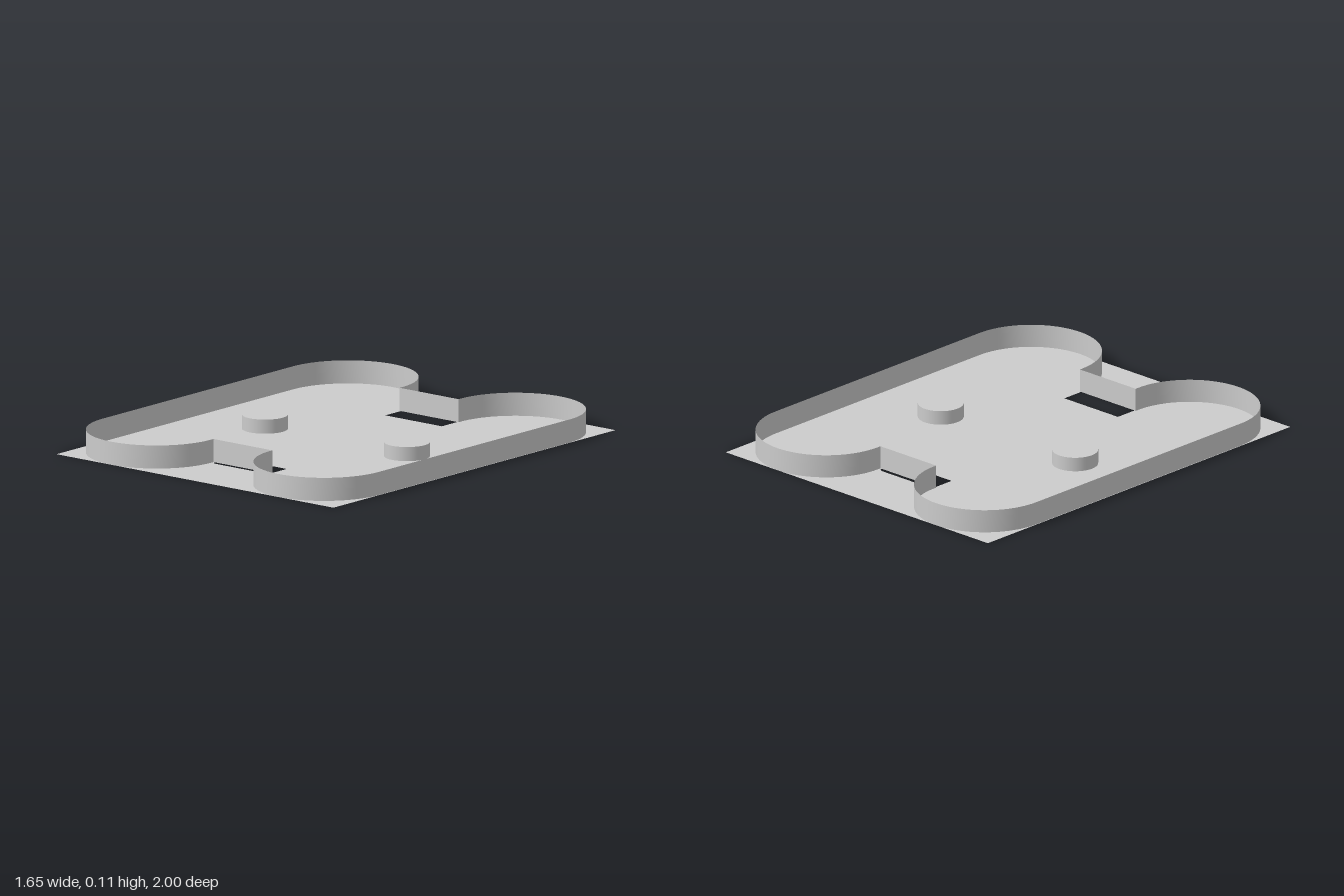
import * as THREE from 'three';

const HALF_W = 0.823, HALF_D = 1;
const WALL_H = 0.108, LOBE_R = 0.3225, LOBE_X = 0.4975, LOBE_Z = 0.6775;
const NOTCH_X = LOBE_X - LOBE_R, NOTCH_Z = 0.66;

const mat = new THREE.MeshStandardMaterial({ color: 0xcccccc, side: THREE.DoubleSide });

function add(parent, name, geometry) {
  const mesh = new THREE.Mesh(geometry, mat);
  mesh.name = name;
  parent.add(mesh);
  return mesh;
}

// Upright thin wall following a list of [x, z] points
function ribbon(points) {
  const n = points.length;
  const geo = new THREE.PlaneGeometry(1, 1, n - 1, 1);
  const pos = geo.attributes.position;
  for (let i = 0; i < pos.count; i++) {
    const [x, z] = points[i % n];
    pos.setXYZ(i, x, i < n ? WALL_H : 0, z);
  }
  geo.computeVertexNormals();
  return geo;
}

// Slot with its two outer corners rounded; s is the end it sits at
function slot(s) {
  const w = 0.168, inner = 0.55 * s, outer = 0.68 * s, r = 0.028;
  const p = new THREE.Path();
  p.moveTo(-w, inner);
  p.lineTo(w, inner);
  p.lineTo(w, outer - r * s);
  p.quadraticCurveTo(w, outer, w - r, outer);
  p.lineTo(-w + r, outer);
  p.quadraticCurveTo(-w, outer, -w, outer - r * s);
  p.closePath();
  return p;
}

export function createModel() {
  const model = new THREE.Group();
  model.name = 'tray';

  // Base sheet with two slots
  const sheet = new THREE.Shape([
    new THREE.Vector2(-HALF_W, -HALF_D), new THREE.Vector2(HALF_W, -HALF_D),
    new THREE.Vector2(HALF_W, HALF_D), new THREE.Vector2(-HALF_W, HALF_D),
  ]);
  sheet.holes.push(slot(1), slot(-1));
  add(model, 'basePlate', new THREE.ShapeGeometry(sheet).rotateX(-Math.PI / 2));

  // One side of the rim: front lobe, straight run, back lobe
  const steps = 40, side = [[NOTCH_X, NOTCH_Z]];
  for (let end = 1; end >= -1; end -= 2) {
    for (let i = 0; i <= steps; i++) {
      const t = Math.PI * i / steps;
      const a = end > 0 ? Math.PI - t : -t;
      side.push([LOBE_X + LOBE_R * Math.cos(a), end * LOBE_Z + LOBE_R * Math.sin(a)]);
    }
  }
  side.push([NOTCH_X, -NOTCH_Z]);

  // The two halves repeat by a half turn
  [['left', 'front', 0, 1], ['right', 'back', Math.PI, -1]].forEach(([lr, fb, turn, s]) => {
    add(model, lr + 'RimWall', ribbon(side)).rotation.y = turn;
    const notch = ribbon([[-NOTCH_X, NOTCH_Z], [NOTCH_X, NOTCH_Z]]);
    add(model, fb + 'NotchWall', notch).rotation.y = turn;

    // Round peg on the floor
    const peg = add(model, lr + 'Peg', new THREE.CylinderGeometry(0.105, 0.105, 0.066, 64));
    peg.position.set(0.422 * s, 0.033, 0);
  });

  return model;
}
